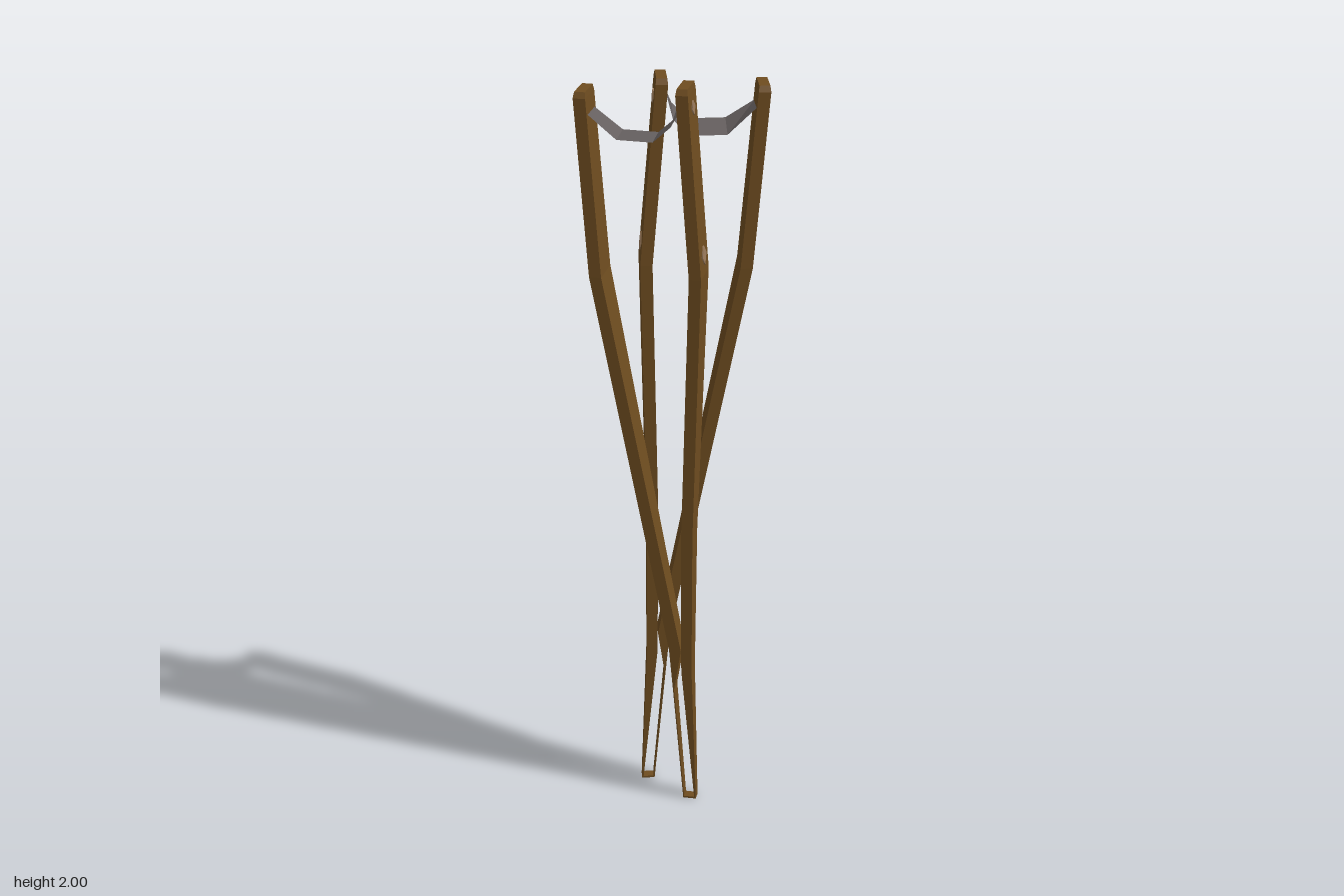
import * as THREE from 'three';

const wood = new THREE.MeshStandardMaterial({ color: 0x6f4d20 });
wood.name = 'brown wood';
const cloth = new THREE.MeshStandardMaterial({ color: 0x645e5e, side: THREE.DoubleSide });
cloth.name = 'grey strap';
const peg = new THREE.MeshStandardMaterial({ color: 0x9a7a5c });
peg.name = 'tan peg';

function facets(quads) {
  const pos = [];
  for (const [a, b, c, d] of quads) pos.push(...a, ...b, ...c, ...a, ...c, ...d);
  const g = new THREE.BufferGeometry();
  g.setAttribute('position', new THREE.Float32BufferAttribute(pos, 3));
  g.computeVertexNormals();
  return g;
}

// Pole lofted through rectangles [y, outer face x, thickness, width]; out = side of the outer face
function poleGeometry(sections, out) {
  const rings = sections.map(([y, x, t, w]) => {
    const x0 = Math.min(x, x - out * t), x1 = Math.max(x, x - out * t);
    return [[x0, y, w / 2], [x1, y, w / 2], [x1, y, -w / 2], [x0, y, -w / 2]];
  });
  const quads = [[...rings[0]].reverse(), rings[rings.length - 1]];
  for (let i = 0; i + 1 < rings.length; i++) {
    for (let k = 0; k < 4; k++) {
      const n = (k + 1) % 4;
      quads.push([rings[i][k], rings[i][n], rings[i + 1][n], rings[i + 1][k]]);
    }
  }
  return facets(quads);
}

const LONG = [
  [0, -0.015, 0.003, 0.027], [0.34, -0.042, 0.003, 0.045], [0.46, -0.052, 0.032, 0.051],
  [1.51, -0.25, 0.031, 0.105], [1.965, -0.285, 0.031, 0.098], [1.98, -0.283, 0.027, 0.084],
];
const SHORT = [
  [0, 0.02, 0.004, 0.027], [0.4, 0.009, 0.028, 0.048], [0.8, 0.012, 0.03, 0.068],
  [1.52, 0.035, 0.031, 0.105], [1.985, 0, 0.031, 0.1], [2, -0.002, 0.027, 0.086],
];
const STRAP = [[-0.253, 1.925], [-0.18, 1.867], [-0.09, 1.865], [-0.045, 1.905], [-0.028, 1.955]];

// One pair: two poles meeting at the foot, joined by a sagging strap near the top
function makePair(name, mirror, tilt) {
  const pair = new THREE.Group();
  pair.name = name;
  const add = (geo, mat, part) => {
    const m = new THREE.Mesh(geo, mat);
    m.name = part;
    pair.add(m);
    return m;
  };

  for (const [part, rows, side] of [['longPole', LONG, -1], ['shortPole', SHORT, 1]]) {
    const sections = rows.map(([y, x, t, w]) => [y, x * mirror, t, w]);
    const out = side * mirror;
    add(poleGeometry(sections, out), wood, part);

    // Diamond pegs on the outer face
    const [low, high] = [sections[3], sections[4]];
    const lean = Math.atan2(high[1] - low[1], high[0] - low[0]);
    for (const [y, r] of [[low[0] + 0.05, 0.025], [high[0] - 0.04, 0.019]]) {
      const f = (y - low[0]) / (high[0] - low[0]);
      const geo = new THREE.CylinderGeometry(r, r, 0.006, 4).rotateZ(Math.PI / 2).rotateZ(-lean);
      add(geo, peg, part + 'Peg').position.set(low[1] + f * (high[1] - low[1]), y, 0);
    }
  }

  // Strap sheet, slightly twisted at its lowest part
  const edge = (z) => STRAP.map(([x, y], i) =>
    [x * mirror, y - Math.sign(z) * (i % 4 ? tilt : 0), z]);
  const front = edge(0.038), back = edge(-0.038);
  const quads = [];
  for (let i = 0; i + 1 < front.length; i++) {
    quads.push(mirror > 0
      ? [front[i], front[i + 1], back[i + 1], back[i]]
      : [front[i + 1], front[i], back[i], back[i + 1]]);
  }
  add(facets(quads), cloth, 'strap');

  // Thin foot plate closing the tip
  add(new THREE.BoxGeometry(0.035, 0.005, 0.027), wood, 'foot').position.set(0.0025 * mirror, 0.0025, 0);
  return pair;
}

export function createModel() {
  const model = new THREE.Group();
  model.name = 'polePairs';

  const frontPair = makePair('frontPair', 1, 0.003);
  frontPair.position.set(0.045, 0, 0.07);
  frontPair.rotation.y = -0.105;

  const backPair = makePair('backPair', -1, 0.012);
  backPair.position.set(-0.077, 0, -0.027);
  backPair.rotation.set(0, 0.15, -0.011);

  model.add(frontPair, backPair);
  return model;
}
